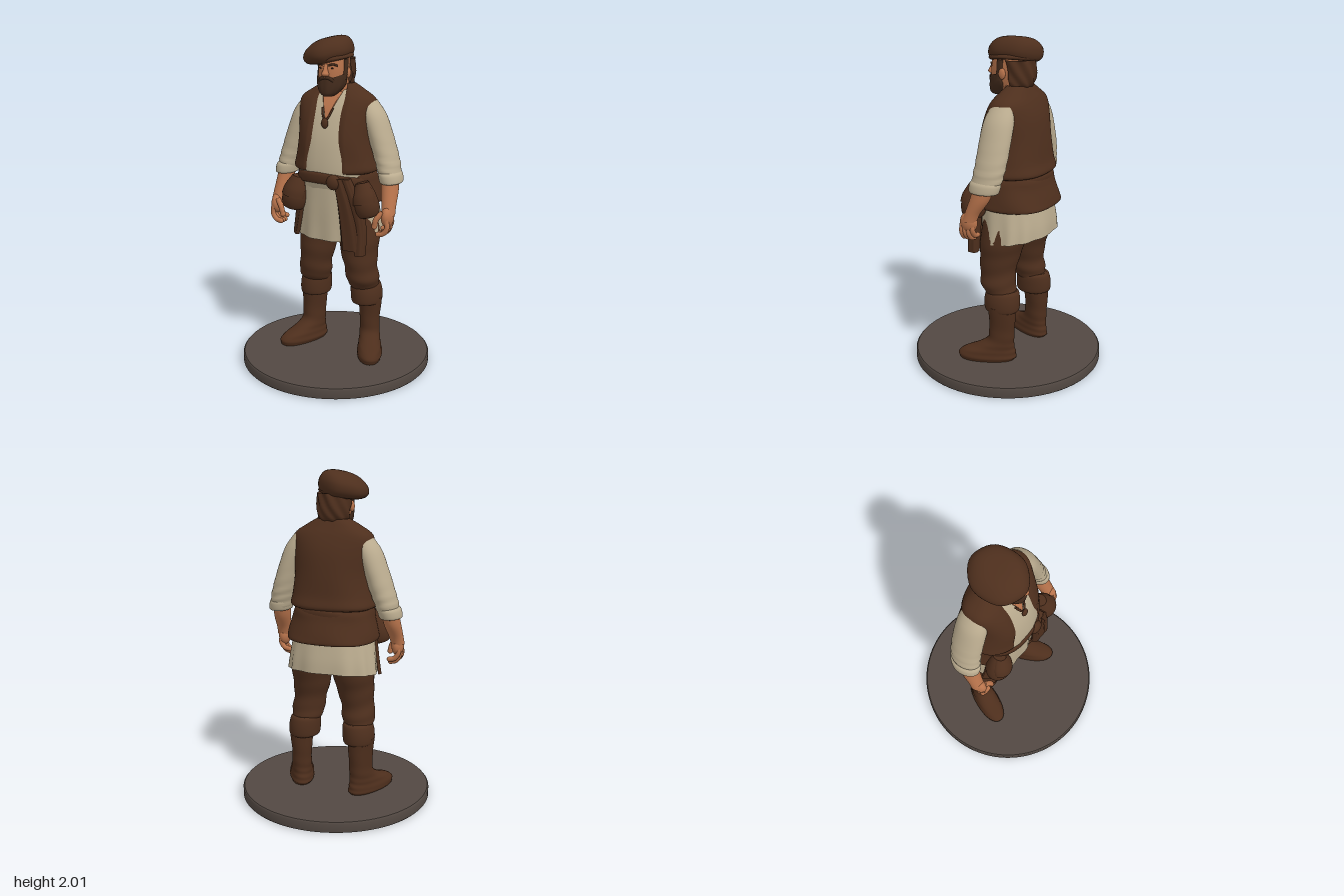
import * as THREE from 'three';

const paint = (name, color, side = THREE.FrontSide) => {
  const m = new THREE.MeshStandardMaterial({ color, side });
  m.name = name;
  return m;
};

export function createModel() {
  const model = new THREE.Group();
  const brown = paint('brown cloth', 0x4e2f1d, THREE.DoubleSide);
  const boot = paint('boot leather', 0x4d2e1c);
  const cream = paint('cream linen', 0xbcad90);
  const skin = paint('skin', 0xb9744c, THREE.DoubleSide);
  const beardCol = paint('beard brown', 0x432b1c, THREE.DoubleSide);
  const stone = paint('base grey', 0x524842);

  const add = (name, geo, mat, parent = model) => {
    const m = new THREE.Mesh(geo, mat);
    m.name = name;
    parent.add(m);
    return m;
  };
  const catmull = (a, b, c, d, t) =>
    0.5 * (2 * b + (c - a) * t + (2 * a - 5 * b + 4 * c - d) * t * t + (3 * b - a - 3 * c + d) * t * t * t);

  // Stacks smooth rings, bottom to top. Row: [y, cx, cz, rx, rz, startAngle?, endAngle?]
  // Angle 0 faces +z. Rows with angles make an open shell with rolled edges.
  function loft(rows, { seg = 40, sub = 5, p = 1, wave = () => 1, hem = () => 0 } = {}) {
    const open = rows[0].length > 5;
    const pos = [], idx = [], n = (rows.length - 1) * sub + 1, w = open ? seg + 1 : seg;
    const pw = v => Math.sign(v) * Math.abs(v) ** p;
    for (let i = 0; i < n; i++) {
      const k = Math.min(Math.floor(i / sub), rows.length - 2), t = i / sub - k;
      const at = o => rows[Math.max(0, Math.min(rows.length - 1, k + o))];
      const r = rows[0].map((_, c) => catmull(at(-1)[c], at(0)[c], at(1)[c], at(2)[c], t));
      const a0 = open ? r[5] : 0, a1 = open ? (r[6] ?? Math.PI * 2 - r[5]) : Math.PI * 2;
      for (let j = 0; j < w; j++) {
        const a = a0 + (a1 - a0) * j / seg;
        const edge = open && (j === 0 || j === seg) ? 0.93 : 1;
        const f = wave(a, i / (n - 1)) * edge;
        pos.push(r[1] + r[3] * f * pw(Math.sin(a)), r[0] + hem(a, i / (n - 1)), r[2] + r[4] * f * pw(Math.cos(a)));
      }
    }
    for (let i = 0; i < n - 1; i++) for (let j = 0; j < seg; j++) {
      const a = i * w + j, b = i * w + (j + 1) % w;
      idx.push(a, b, b + w, a, b + w, a + w);
    }
    if (!open) for (const end of [0, n - 1]) {
      const base = pos.length / 3, r = rows[end ? rows.length - 1 : 0];
      for (let j = 0; j < seg; j++) pos.push(...pos.slice((end * w + j) * 3, (end * w + j) * 3 + 3));
      pos.push(r[1], r[0], r[2]);
      for (let j = 0; j < seg; j++) {
        const a = base + j, b = base + (j + 1) % seg;
        end ? idx.push(a, b, base + seg) : idx.push(b, a, base + seg);
      }
    }
    const g = new THREE.BufferGeometry();
    g.setAttribute('position', new THREE.Float32BufferAttribute(pos, 3));
    g.setIndex(idx);
    g.computeVertexNormals();
    return g;
  }
  const blob = (name, mat, x, y, z, rx, ry, rz, parent) => {
    const m = add(name, new THREE.SphereGeometry(1, 24, 16), mat, parent);
    m.position.set(x, y, z);
    m.scale.set(rx, ry, rz);
    return m;
  };
  const tube = (name, mat, pts, r, parent) => add(name, new THREE.TubeGeometry(
    new THREE.CatmullRomCurve3(pts.map(q => new THREE.Vector3(...q))), 14, r, 10), mat, parent);

  // Round base with a bevelled rim
  add('base', new THREE.LatheGeometry([[0, 0], [0.578, 0], [0.578, 0], [0.585, 0.008], [0.585, 0.056],
    [0.577, 0.065], [0.577, 0.065], [0, 0.065]].map(q => new THREE.Vector2(...q)), 96), stone);

  // Boots, turned-down cuffs and baggy breeches
  for (const s of [-1, 1]) {
    const cz = s < 0 ? -0.085 : -0.065, side = s < 0 ? 'right' : 'left';
    const foot = new THREE.Group();
    foot.name = side + 'Boot';
    foot.position.set(s * 0.2, 0, cz - 0.01);
    foot.rotation.y = s * 0.42;
    model.add(foot);
    add('bootFoot', loft([[0.065, 0, 0.09, 0.07, 0.165], [0.085, 0, 0.09, 0.078, 0.178], [0.12, 0, 0.085, 0.072, 0.167],
      [0.155, 0, 0.045, 0.066, 0.12], [0.2, 0, 0.008, 0.062, 0.082], [0.28, 0, 0, 0.062, 0.078],
      [0.42, 0, 0, 0.076, 0.085]], { p: 0.9, wave: (a, t) => 1 + 0.015 * Math.sin(t * 34 + a) }), boot, foot);
    add(side + 'BootCuff', loft([[0.385, s * 0.183, cz, 0.075, 0.085], [0.395, s * 0.183, cz, 0.092, 0.108],
      [0.45, s * 0.181, cz, 0.096, 0.112], [0.5, s * 0.176, cz, 0.09, 0.104], [0.515, s * 0.174, cz, 0.075, 0.09]]), brown);
    add(side + 'Breeches', loft([[0.49, s * 0.172, cz + 0.01, 0.082, 0.09], [0.54, s * 0.17, cz + 0.03, 0.1, 0.108],
      [0.62, s * 0.16, cz + 0.04, 0.098, 0.11], [0.72, s * 0.146, cz + 0.035, 0.112, 0.124],
      [0.82, s * 0.137, cz + 0.02, 0.124, 0.14], [0.95, s * 0.115, cz, 0.125, 0.15]],
      { wave: (a, t) => 1 + 0.035 * (1 - t) * Math.sin(t * 26 + 1.5 * Math.sin(a + s)) }), brown);
  }

  // Linen shirt: pleated skirt and torso
  const x0 = -0.013;
  add('shirtSkirt', loft([[0.815, x0, -0.078, 0.272, 0.2], [0.9, x0, -0.075, 0.262, 0.2], [1.02, x0, -0.065, 0.245, 0.195],
    [1.2, x0, -0.05, 0.215, 0.185]], {
    seg: 80, p: 0.9, wave: (a, t) => 1 + 0.025 * (1 - t) * Math.sin(11 * a + Math.sin(3 * a)),
    hem: (a, t) => (1 - t) * (0.01 - 0.025 * Math.cos(a)),
  }), cream);
  add('shirtTorso', loft([[1.12, x0, -0.048, 0.21, 0.18], [1.22, x0, -0.045, 0.225, 0.2], [1.4, x0, -0.04, 0.215, 0.175],
    [1.55, x0, -0.053, 0.225, 0.142], [1.64, x0, -0.063, 0.205, 0.105], [1.7, x0, -0.068, 0.11, 0.07]],
    { p: 0.85, wave: (a, t) => 1 + 0.008 * Math.sin(14 * a) * (1 - t) }), cream);
  add('flap', loft([[0.8, x0, -0.075, 0.295, 0.22, -1.25, -0.8], [0.9, x0, -0.072, 0.28, 0.215, -1.2, -0.72],
    [1.06, x0, -0.065, 0.258, 0.21, -1.2, -0.6]], { p: 0.9, seg: 16 }), brown);

  // Open waistcoat and its flared lower part
  const vestOpts = { seg: 72, p: 0.85, wave: (a, t) => 1 + 0.008 * Math.sin(5 * a + t * 9) };
  add('waistcoat', loft([[1.215, x0, -0.05, 0.235, 0.185, 0.37], [1.235, x0, -0.055, 0.262, 0.21, 0.37],
    [1.3, x0, -0.05, 0.25, 0.2, 0.36], [1.42, x0, -0.047, 0.234, 0.19, 0.35], [1.55, x0, -0.057, 0.24, 0.16, 0.32],
    [1.64, x0, -0.065, 0.237, 0.122, 0.35], [1.695, x0, -0.07, 0.165, 0.088, 0.5],
    [1.735, x0, -0.075, 0.095, 0.06, 0.85]], vestOpts), brown);
  add('waistcoatSkirt', loft([[1.02, x0, -0.07, 0.24, 0.2, 0.75], [1.03, x0, -0.075, 0.27, 0.225, 0.72],
    [1.07, x0, -0.07, 0.268, 0.222, 0.68], [1.15, x0, -0.06, 0.248, 0.205, 0.6],
    [1.2, x0, -0.055, 0.238, 0.198, 0.55], [1.235, x0, -0.05, 0.22, 0.18, 0.5]], vestOpts), brown);

  // Belt, knot, hanging sash ends and pouches
  add('belt', loft([[1.14, x0, -0.045, 0.215, 0.185], [1.155, x0, -0.045, 0.235, 0.207], [1.2, x0, -0.045, 0.235, 0.21],
    [1.218, x0, -0.045, 0.215, 0.19]], { p: 0.88, hem: a => 0.015 * Math.sin(a * 2 + 2) }), brown);
  blob('beltKnot', brown, 0.06, 1.175, 0.155, 0.045, 0.045, 0.03);
  const pleat = { p: 0.7, seg: 32, wave: a => 1 + 0.06 * Math.sin(7 * a) };
  add('sashFront', loft([[0.765, 0.165, 0.12, 0.062, 0.028], [0.9, 0.15, 0.125, 0.056, 0.028],
    [1.05, 0.125, 0.135, 0.045, 0.026], [1.2, 0.085, 0.148, 0.03, 0.022]], pleat), brown);
  add('sashSide', loft([[0.74, 0.215, 0.115, 0.03, 0.032], [0.9, 0.208, 0.11, 0.04, 0.032],
    [1.05, 0.175, 0.12, 0.045, 0.032], [1.2, 0.12, 0.13, 0.035, 0.025]], pleat), brown);
  for (const [x, z, tilt, side] of [[-0.225, 0.095, -0.2, 'right'], [0.235, 0.09, 0.2, 'left']]) {
    const pouch = new THREE.Group();
    pouch.name = side + 'Pouch';
    pouch.position.set(x, 1.08, z);
    pouch.rotation.z = tilt;
    model.add(pouch);
    add('pouchBag', loft([[-0.11, 0, 0, 0.03, 0.03], [-0.095, 0, 0, 0.065, 0.06], [-0.04, 0, 0, 0.078, 0.075],
      [0.03, 0, 0, 0.066, 0.065], [0.1, 0, -0.01, 0.035, 0.04]]), brown, pouch);
    add('pouchFlap', loft([[-0.02, 0, 0, 0.082, 0.082, -1.2, 1.2], [0.03, 0, 0, 0.073, 0.072, -1.4, 1.4],
      [0.1, 0, -0.01, 0.04, 0.045, -1.5, 1.5]], { seg: 20 }), brown, pouch);
  }

  // Sleeves, rolled cuffs, forearms and hands
  for (const s of [-1, 1]) {
    const arm = new THREE.Group();
    arm.name = s < 0 ? 'rightArm' : 'leftArm';
    arm.position.x = -0.008;
    model.add(arm);
    add('sleeve', loft([[1.18, s * 0.345, -0.045, 0.06, 0.085], [1.25, s * 0.33, -0.055, 0.068, 0.093],
      [1.33, s * 0.305, -0.063, 0.072, 0.095], [1.45, s * 0.265, -0.066, 0.072, 0.096],
      [1.56, s * 0.222, -0.067, 0.072, 0.09], [1.64, s * 0.185, -0.07, 0.05, 0.065]],
      { wave: (a, t) => 1 + 0.045 * Math.max(0, 1 - 1.6 * t) * Math.sin(t * 45 + 2 * Math.sin(a)) }), cream, arm);
    add('rolledCuff', loft([[1.165, s * 0.352, -0.04, 0.055, 0.08], [1.175, s * 0.352, -0.042, 0.066, 0.093],
      [1.215, s * 0.344, -0.047, 0.068, 0.097], [1.235, s * 0.338, -0.05, 0.06, 0.086]]), cream, arm);
    add('forearm', loft([[0.99, s * 0.372, 0.045, 0.04, 0.045], [1.04, s * 0.366, 0.025, 0.043, 0.046],
      [1.12, s * 0.355, -0.015, 0.05, 0.06], [1.2, s * 0.345, -0.04, 0.05, 0.062]]), skin, arm);
    blob('palm', skin, s * 0.37, 0.98, 0.05, 0.036, 0.062, 0.056, arm);
    for (let i = 0; i < 4; i++) {
      const z = 0.09 - i * 0.024, d = i === 3 ? 0.02 : 0;
      tube('finger', skin, [[s * 0.378, 0.97, z], [s * 0.383, 0.92 + d, z], [s * 0.36, 0.885 + d, z], [s * 0.328, 0.876 + d, z]], 0.0155, arm);
      blob('fingertip', skin, s * 0.328, 0.876 + d, z, 0.0155, 0.0155, 0.0155, arm);
    }
    tube('thumb', skin, [[s * 0.352, 1.01, 0.08], [s * 0.32, 0.97, 0.1], [s * 0.308, 0.925, 0.1]], 0.017, arm);
    blob('thumbTip', skin, s * 0.308, 0.925, 0.1, 0.017, 0.017, 0.017, arm);
  }

  // Neck, open collar and lace
  add('neck', loft([[1.58, x0, -0.04, 0.09, 0.085], [1.66, x0, -0.045, 0.078, 0.078], [1.78, x0, -0.03, 0.068, 0.07]]), skin);
  add('openCollar', loft([[1.53, x0, -0.05, 0.23, 0.157, -0.01, 0.01], [1.6, x0, -0.058, 0.22, 0.137, -0.1, 0.1],
    [1.66, x0, -0.064, 0.185, 0.107, -0.25, 0.25], [1.69, x0, -0.066, 0.135, 0.088, -0.45, 0.45]], { p: 0.85, seg: 20 }), skin);
  for (const s of [-1, 1]) tube('lace', brown, [[x0 + s * 0.035, 1.6, 0.083], [x0 + s * 0.022, 1.56, 0.102], [x0, 1.52, 0.118]], 0.006);
  blob('laceToggle', brown, x0, 1.515, 0.122, 0.022, 0.032, 0.014);

  // Head, with features facing forward
  const head = new THREE.Group();
  head.name = 'head';
  head.position.x = -0.013;
  model.add(head);
  add('face', loft([[1.685, 0, 0.035, 0.045, 0.05], [1.72, 0, 0.015, 0.07, 0.085], [1.78, 0, 0, 0.084, 0.107],
    [1.84, 0, -0.005, 0.087, 0.112], [1.92, 0, -0.015, 0.085, 0.11]]), skin, head);
  add('nose', loft([[1.785, 0, 0.11, 0.018, 0.012], [1.797, 0, 0.113, 0.022, 0.027], [1.82, 0, 0.108, 0.014, 0.02],
    [1.855, 0, 0.1, 0.01, 0.012]], { seg: 16 }), skin, head);
  add('beard', loft([[1.668, 0, 0.07, 0.03, 0.035, -2.6, 2.6], [1.685, 0, 0.058, 0.055, 0.06, -2.4, 2.4],
    [1.72, 0, 0.03, 0.08, 0.09, -2, 2], [1.76, 0, 0.01, 0.09, 0.107, -1.65, 1.65],
    [1.785, 0, 0.002, 0.09, 0.112, -1.5, 1.5]], {
    wave: a => 1 + 0.012 * Math.sin(12 * a), hem: (a, t) => -0.012 * t * Math.cos(a * 2),
  }), beardCol, head);
  for (const s of [-1, 1]) {
    tube('moustache', beardCol, [[0, 1.778, 0.112], [s * 0.025, 1.772, 0.108], [s * 0.045, 1.755, 0.094]], 0.01, head);
    tube('eyebrow', beardCol, [[s * 0.016, 1.845, 0.104], [s * 0.04, 1.852, 0.095], [s * 0.062, 1.843, 0.076]], 0.006, head);
    blob('eye', beardCol, s * 0.035, 1.83, 0.097, 0.012, 0.004, 0.004, head);
    blob('ear', skin, s * 0.09, 1.8, -0.005, 0.014, 0.032, 0.022, head);
    add('sideburn', loft([[1.76, s * 0.078, 0.025, 0.014, 0.024], [1.82, s * 0.083, 0.015, 0.012, 0.02],
      [1.88, s * 0.083, 0.01, 0.013, 0.022]], { seg: 14 }), beardCol, head);
  }
  add('hair', loft([[1.71, 0, -0.055, 0.07, 0.07, 1.5], [1.74, 0, -0.055, 0.092, 0.1, 1.5], [1.8, 0, -0.05, 0.1, 0.118, 1.55],
    [1.88, 0, -0.045, 0.1, 0.122, 1.4]], { seg: 56, wave: (a, t) => 1 + 0.05 * Math.sin(9 * a + 12 * t) }), brown, head);

  // Soft slouching cap, lower over the right side
  const cap = new THREE.Group();
  cap.name = 'cap';
  cap.position.set(-0.058, 1.915, -0.018);
  cap.rotation.set(0.04, 0, 0.22);
  model.add(cap);
  add('capCrown', loft([[-0.06, 0.025, 0, 0.095, 0.125], [-0.045, 0.005, 0, 0.128, 0.152], [-0.015, 0, 0, 0.146, 0.166],
    [0.025, 0.005, -0.005, 0.138, 0.16], [0.06, 0.018, -0.012, 0.105, 0.128], [0.077, 0.025, -0.015, 0.06, 0.08],
    [0.081, 0.028, -0.015, 0.01, 0.015]], { wave: (a, t) => 1 + 0.025 * (1 - t) * Math.sin(6 * a + 1) }), brown, cap);
  add('capBand', loft([[-0.06, 0.045, 0.005, 0.09, 0.118], [-0.05, 0.04, 0.005, 0.102, 0.137],
    [-0.03, 0.035, 0.005, 0.1, 0.135]]), brown, cap);
  return model;
}
